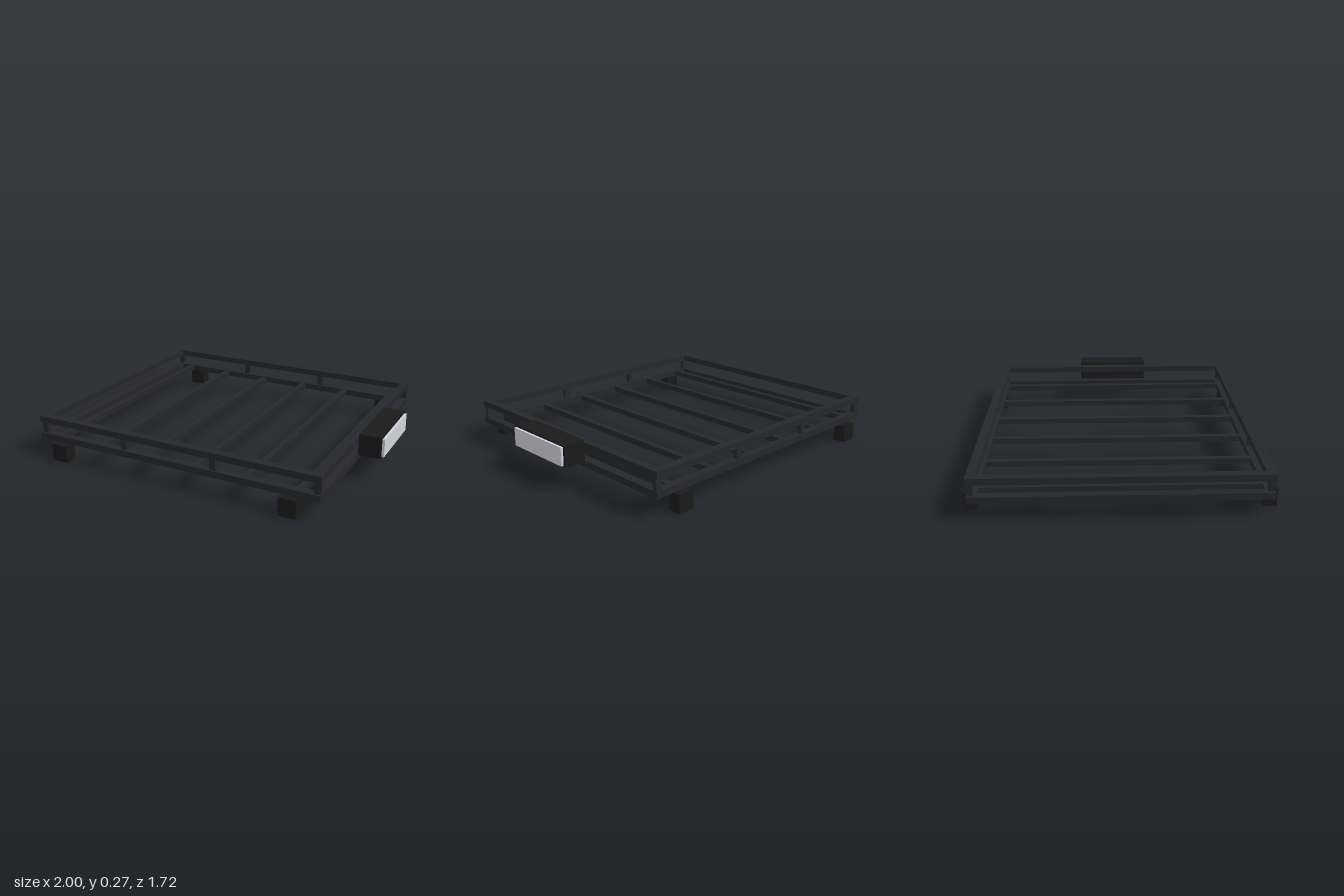
import * as THREE from 'three';

export function createModel() {
  const model = new THREE.Group();
  const mat = (color) => new THREE.MeshStandardMaterial({ color });
  const railMat = mat(0x26272b), darkMat = mat(0x1a1a1b), glassMat = mat(0xd2d2dc);

  // Box given by its extents on each axis
  const box = (name, material, [x0, x1], [y0, y1], [z0, z1], parent = model) => {
    const mesh = new THREE.Mesh(new THREE.BoxGeometry(x1 - x0, y1 - y0, z1 - z0), material);
    mesh.position.set((x0 + x1) / 2, (y0 + y1) / 2, (z0 + z1) / 2);
    mesh.name = name;
    parent.add(mesh);
  };
  const around = (c, w) => [c - w / 2, c + w / 2];

  // Two stacked rectangular frames
  const frames = [['lowerFrame', [0.108, 0.147]], ['upperFrame', [0.217, 0.256]]];
  for (const [name, y] of frames) {
    const frame = new THREE.Group();
    frame.name = name;
    for (const s of [-1, 1]) box('longRail', railMat, [-1, 0.85], y, around(s * 0.795, 0.05), frame);
    for (const x of [-0.975, 0.825]) box('endRail', railMat, around(x, 0.05), y, [-0.77, 0.77], frame);
    model.add(frame);
  }

  // Short posts between the frames, and mounting feet
  for (const s of [-1, 1]) {
    for (const x of [-0.968, -0.386, 0.209, 0.829])
      box('post', railMat, around(x, 0.038), [0.147, 0.217], around(s * 0.797, 0.026));
    for (const x of [-0.828, 0.68])
      box('foot', darkMat, around(x, 0.104), [0, 0.108], around(s * 0.823, 0.078));
  }

  // Floor crossbars
  for (let i = 0; i < 6; i++)
    box('crossbar', railMat, around(-0.87 + i * 0.318, 0.037), [0.11, 0.145], [-0.77, 0.77]);

  // Light bar on the end of the rack
  box('lampHousing', darkMat, [0.85, 0.985], [0.14, 0.27], [-0.238, 0.238]);
  box('lampLens', glassMat, [0.985, 1], [0.15, 0.26], [-0.225, 0.225]);

  return model;
}
